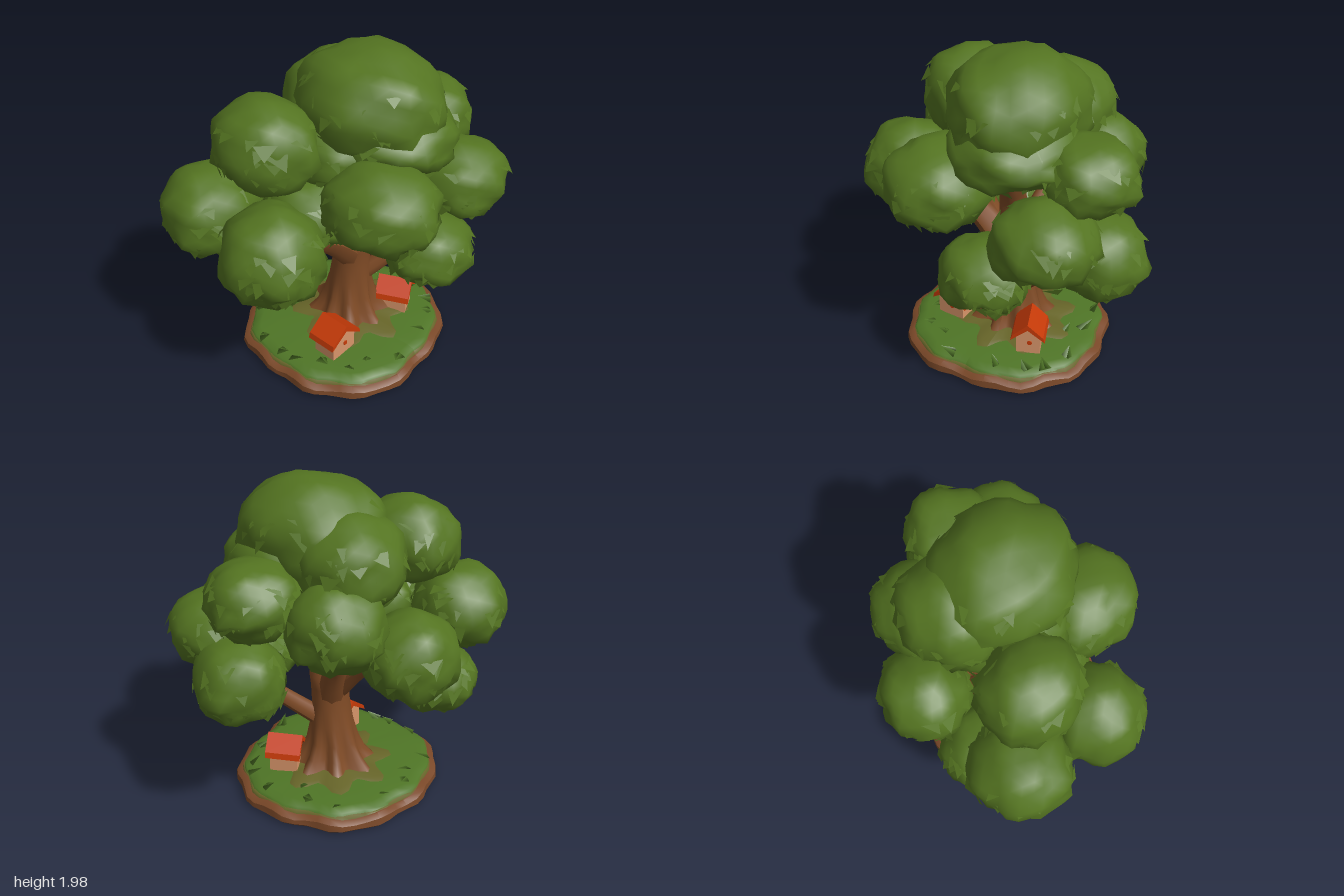
import * as THREE from 'three';
import { mergeVertices, mergeGeometries, toCreasedNormals } from 'three/addons/utils/BufferGeometryUtils.js';

const V = (x, y, z) => new THREE.Vector3(x, y, z);
const mat = (name, color, side = THREE.FrontSide) => {
  const m = new THREE.MeshStandardMaterial({ color, side });
  m.name = name;
  return m;
};

// Seeded random numbers
let seed = 7;
const rnd = () => {
  seed = (seed * 16807) % 2147483647;
  return seed / 2147483647;
};

// Move every vertex by a rule
function warp(geo, rule) {
  const p = geo.attributes.position, v = V(0, 0, 0);
  for (let i = 0; i < p.count; i++) {
    v.fromBufferAttribute(p, i);
    rule(v, i);
    p.setXYZ(i, v.x, v.y, v.z);
  }
  geo.computeVertexNormals();
  return geo;
}

// Lumpy surface of a foliage ball along direction v, drooping below its middle
function puff(v, k) {
  const n = 0.035 * Math.sin(5 * v.x + k) * Math.cos(5 * v.z + 2 * k)
    + 0.025 * Math.sin(7 * v.y + 6 * v.x + 3 * k) + 0.025 * Math.sin(9 * v.z - 7 * v.x + k);
  const droop = 1 + 0.12 * Math.max(0, -v.y);
  v.multiplyScalar(0.98 + n);
  return v.set(v.x * droop, v.y, v.z * droop);
}

// Foliage ball with a ragged underside
function clump(c, r, k) {
  let g = new THREE.IcosahedronGeometry(1, 4);
  g.deleteAttribute('uv');
  g.deleteAttribute('normal');
  g = mergeVertices(g, 1e-4);
  return warp(g, (v) => {
    const rag = v.y < -0.15 ? 0.16 * (rnd() - 0.45) : 0.03 * (rnd() - 0.5);
    puff(v, k).multiplyScalar(1 + rag);
    v.set(c[0] + v.x * r[0], c[1] + v.y * r[1], c[2] + v.z * r[2]);
  });
}

// Broad leaf flaps lying over a ball, hanging down and outward
function flaps(c, r, k, count) {
  const pos = [];
  for (let i = 0; i < count; i++) {
    const y = 0.7 - 1.4 * rnd(), a = rnd() * Math.PI * 2, s = Math.sqrt(1 - y * y);
    const d = V(s * Math.cos(a), y, s * Math.sin(a));
    const side = V(-Math.sin(a), 0, Math.cos(a));
    const down = V(0, 0, 0).crossVectors(d, side).normalize();
    if (down.y > 0) down.negate();
    const p = puff(d.clone(), k).multiply(V(...r)).multiplyScalar(0.98).add(V(...c));
    const w = 0.03 + 0.04 * rnd(), l = 0.05 + 0.05 * rnd();
    const p1 = p.clone().addScaledVector(side, w), p2 = p.clone().addScaledVector(side, -w);
    const tip = p.clone().addScaledVector(down, l).addScaledVector(d, 0.012)
      .addScaledVector(side, (rnd() - 0.5) * 0.1);
    const out = V(0, 0, 0).crossVectors(p2.clone().sub(p1), tip.clone().sub(p1)).dot(d) > 0;
    (out ? [p1, p2, tip] : [p2, p1, tip]).forEach((q) => pos.push(...q.toArray()));
  }
  const g = new THREE.BufferGeometry();
  g.setAttribute('position', new THREE.Float32BufferAttribute(pos, 3));
  g.computeVertexNormals();
  return g;
}

// Tapered limb along a curve
function limb(points, r0, r1) {
  const curve = new THREE.CatmullRomCurve3(points.map((p) => V(...p)));
  const n = 12, sides = 9;
  const g = new THREE.TubeGeometry(curve, n, 1, sides);
  return warp(g, (v, i) => {
    const t = Math.floor(i / (sides + 1)) / n, o = curve.getPointAt(t);
    v.sub(o).multiplyScalar(r0 + (r1 - r0) * t).add(o);
  });
}

const lathe = (pts, n) => new THREE.LatheGeometry(pts.map((p) => new THREE.Vector2(...p)), n);

const extrude = (pts, depth) => new THREE.ExtrudeGeometry(
  new THREE.Shape(pts.map((p) => new THREE.Vector2(...p))), { depth, bevelEnabled: false },
).translate(0, 0, -depth / 2);

export function createModel() {
  const model = new THREE.Group();
  const leaf = mat('leaf green', 0x547421, THREE.DoubleSide);
  const grass = mat('grass green', 0x4f7526, THREE.DoubleSide);
  const moss = mat('moss olive', 0x666428);
  const bark = mat('bark brown', 0x7e4a25);
  const soil = mat('soil brown', 0x7a4828);
  const wall = mat('wall peach', 0xd8956a);
  const roofRed = mat('roof red', 0xc63a08);
  const add = (parent, name, geo, m) => {
    const mesh = new THREE.Mesh(geo, m);
    mesh.name = name;
    parent.add(mesh);
  };

  // Ground: lumpy soil slab, mossy edge and grass cap
  const rim = (v) => {
    const a = Math.atan2(v.z, v.x);
    const f = 1 - 0.025 * Math.cos(4 * a) + 0.015 * Math.sin(3 * a + 1) + 0.012 * Math.sin(7 * a) + 0.018 * Math.sin(13 * a + 2);
    v.set(v.x * f + 0.01, v.y + (v.y > 0.05 && v.y < 0.09 ? 0.01 * Math.sin(11 * a) : 0), v.z * f * 0.97 + 0.03);
  };
  add(model, 'soil', toCreasedNormals(warp(lathe([[0, 0], [0.61, 0], [0.63, 0.02], [0.625, 0.055], [0.595, 0.075], [0.5, 0.08]], 52), rim), 0.6), soil);
  add(model, 'mossEdge', warp(lathe([[0.59, 0.072], [0.58, 0.09], [0.5, 0.1]], 52), rim), moss);
  add(model, 'grass', warp(lathe([[0.582, 0.085], [0.57, 0.105], [0.52, 0.12], [0.4, 0.125], [0.2, 0.14], [0, 0.14]], 52), rim), grass);
  add(model, 'mossAroundRoots', warp(lathe([[0.34, 0.125], [0.3, 0.138], [0.2, 0.15]], 42), (v) => {
    const f = 1 + 0.14 * Math.sin(8 * Math.atan2(v.z, v.x) + 0.6);
    v.set(v.x * f + 0.06, v.y, v.z * f + 0.03);
  }), moss);

  // Grass tufts: broad bent leaves near the rim
  const blades = [];
  for (let i = 0; i < 18; i++) {
    const a = i * 2.4, r = 0.4 + 0.16 * rnd();
    const g = new THREE.ConeGeometry(0.045, 0.07 + 0.04 * rnd(), 3);
    g.scale(1, 1, 0.25).rotateX(-0.8 - 0.6 * rnd()).rotateZ(1.2 * (rnd() - 0.5)).rotateY(a);
    blades.push(g.translate(r * Math.cos(a) + 0.01, 0.135, r * Math.sin(a) * 0.95 + 0.03));
  }
  add(model, 'grassTufts', mergeGeometries(blades), grass);

  // Trunk with ridged, flaring roots
  add(model, 'trunk', warp(lathe([[0.27, 0.1], [0.22, 0.15], [0.18, 0.21], [0.15, 0.3], [0.13, 0.42], [0.115, 0.55], [0.115, 0.66], [0.12, 0.74], [0.07, 0.82], [0, 0.84]], 42), (v) => {
    const a = Math.atan2(v.z, v.x), root = Math.max(0, (0.42 - v.y) / 0.32);
    const f = 1 + 0.22 * root * Math.sin(8 * a + 0.6) + 0.08 * root * Math.sin(3 * a);
    v.set(v.x * f + 0.06, v.y, v.z * f + 0.03 + 0.05 * Math.max(0, v.y - 0.3));
  }), bark);

  // Branches: path, start radius, end radius
  [
    [[[0.09, 0.42, 0.08], [0.28, 0.65, 0.29], [0.52, 0.98, 0.52]], 0.06, 0.035],
    [[[0.04, 0.62, 0.05], [-0.18, 0.83, 0.04], [-0.55, 1, 0.03]], 0.1, 0.045],
    [[[0, 0.68, 0.03], [-0.25, 0.79, -0.16], [-0.5, 0.88, -0.4]], 0.07, 0.035],
    [[[0.06, 0.66, 0.04], [0.03, 0.95, 0.01], [0.07, 1.2, 0.12], [0.1, 1.5, 0.15]], 0.1, 0.05],
    [[[0.08, 0.6, 0.03], [0.19, 0.88, -0.07], [0.42, 1.2, -0.22]], 0.09, 0.04],
    [[[0.06, 0.62, 0.02], [0.1, 0.88, -0.22], [0.15, 1.05, -0.5]], 0.07, 0.035],
  ].forEach(([path, r0, r1]) => add(model, 'branch', limb(path, r0, r1), bark));

  // Foliage balls: centre, radii
  [
    [[0.12, 1.67, 0.12], [0.39, 0.31, 0.44]],
    [[0.16, 1.5, 0.22], [0.38, 0.2, 0.4]],
    [[0.02, 1.42, 0], [0.36, 0.24, 0.34]],
    [[-0.2, 1.27, 0.43], [0.31, 0.24, 0.33]],
    [[-0.38, 1.51, -0.22], [0.28, 0.26, 0.31]],
    [[-0.66, 1.04, 0.04], [0.29, 0.28, 0.29]],
    [[-0.3, 1.12, 0], [0.24, 0.2, 0.28]],
    [[-0.56, 1.08, -0.49], [0.3, 0.26, 0.29]],
    [[-0.26, 0.73, -0.48], [0.25, 0.2, 0.26]],
    [[0.14, 1.06, -0.53], [0.28, 0.25, 0.26]],
    [[0.21, 1.57, -0.18], [0.32, 0.27, 0.3]],
    [[0.44, 1.29, -0.22], [0.28, 0.25, 0.28]],
    [[0.59, 1.41, 0.2], [0.28, 0.21, 0.27]],
    [[0.69, 0.96, 0.24], [0.26, 0.24, 0.26]],
    [[0.49, 1.14, 0.51], [0.29, 0.22, 0.28]],
    [[0.14, 0.83, 0.54], [0.27, 0.2, 0.25]],
  ].forEach(([c, r], i) => {
    const g = new THREE.Group();
    g.name = 'foliage';
    add(g, 'foliageBall', clump(c, r, i * 1.7), leaf);
    add(g, 'leafFlaps', flaps(c, r, i * 1.7, 50), leaf);
    model.add(g);
  });

  // Cottages: gabled walls, folded roof, round window; w is half the wall width
  [[-0.28, 0.17, -0.1, 0.092, 0.15], [0.27, 0.24, 0.35, 0.072, 0.17]].forEach(([x, z, turn, w, depth]) => {
    const house = new THREE.Group();
    house.name = 'cottage';
    const e = w + 0.032;
    add(house, 'walls', extrude([[-w, 0], [w, 0], [w, 0.125], [0, 0.2], [-w, 0.125]], depth), wall);
    add(house, 'roof', extrude([[-e, 0.105], [0, 0.19], [e, 0.105], [e - 0.01, 0.14], [0, 0.228], [0.01 - e, 0.14]], depth + 0.045), roofRed);
    add(house, 'window', new THREE.CylinderGeometry(0.015, 0.015, 0.008, 8).rotateX(Math.PI / 2).translate(0.01, 0.08, depth / 2 + 0.002), roofRed);
    house.position.set(x, 0.125, z);
    house.rotation.y = turn;
    model.add(house);
  });

  return model;
}
